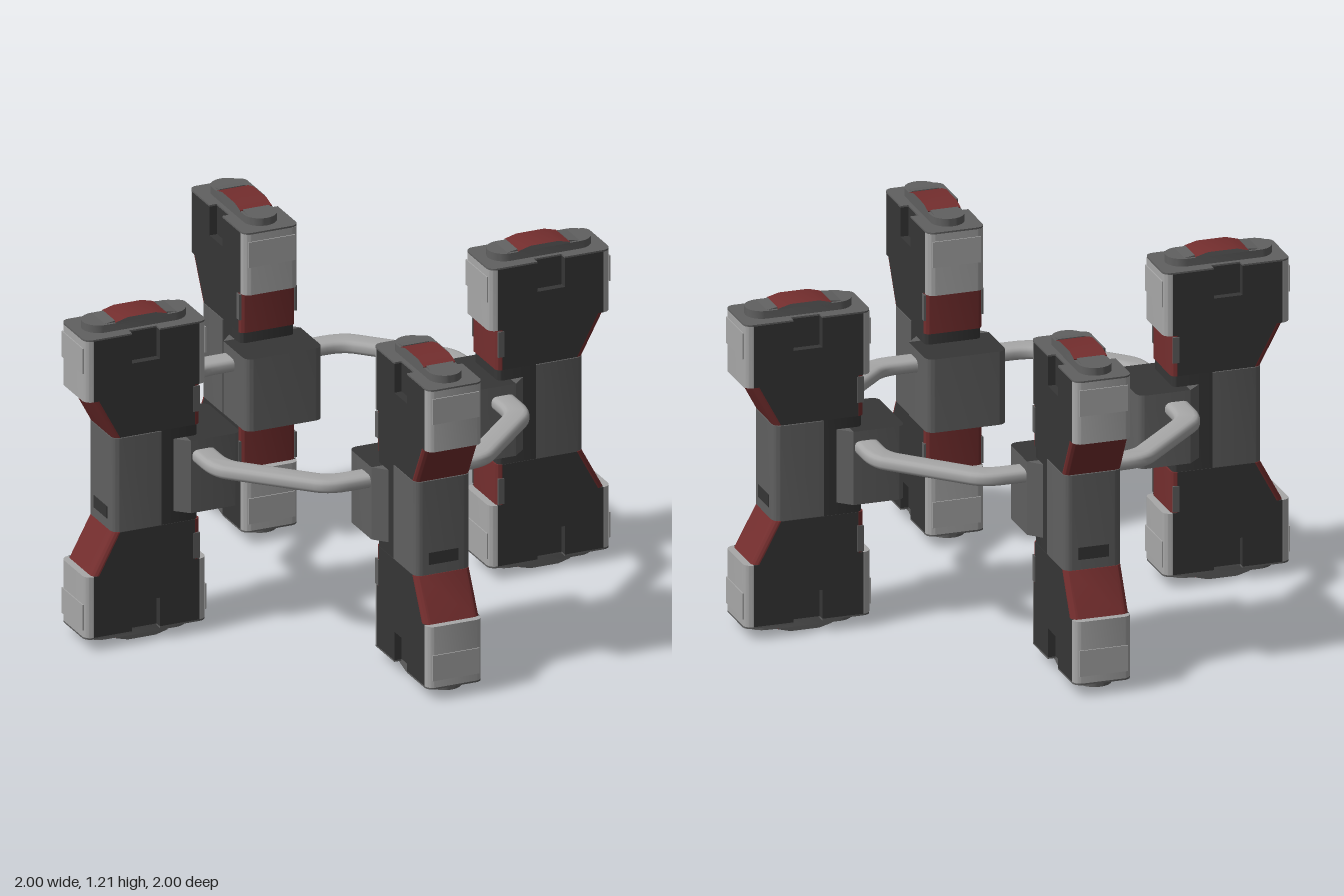
import * as THREE from 'three';
import { toCreasedNormals } from 'three/addons/utils/BufferGeometryUtils.js';

const mat = (name, color) => {
  const m = new THREE.MeshStandardMaterial({ color });
  m.name = name;
  return m;
};
const MID = 0.603; // height of the mirror plane of each pod

// Plan outline from x0 to x1, half width w, corner radii at both ends, optional side notches
function plan(x0, x1, w, r0, r1, notch = false) {
  const s = new THREE.Shape();
  const arc = (x, y, r, a) => {
    if (r > 0) s.absarc(x, y, r, a, a + Math.PI / 2, false);
    else s.lineTo(x, y);
  };
  s.moveTo(x0 + r0, -w);
  if (notch) [[0.715, -w], [0.715, -0.077], [0.82, -0.077], [0.82, -w]].forEach(p => s.lineTo(...p));
  arc(x1 - r1, -w + r1, r1, -Math.PI / 2);
  arc(x1 - r1, w - r1, r1, 0);
  if (notch) [[0.82, w], [0.82, 0.077], [0.715, 0.077], [0.715, w]].forEach(p => s.lineTo(...p));
  arc(x0 + r0, w - r0, r0, Math.PI / 2);
  arc(x0 + r0, -w + r0, r0, Math.PI);
  return s;
}

// Extrude a plan upwards between two heights
function rise(shape, y0, y1) {
  const g = new THREE.ExtrudeGeometry(shape, { depth: y1 - y0, bevelEnabled: false, curveSegments: 5 });
  g.rotateX(-Math.PI / 2);
  g.translate(0, y0, 0);
  return g;
}

// Pull the outer side inwards towards the waist
function taper(g) {
  const p = g.attributes.position;
  for (let i = 0; i < p.count; i++) {
    if (p.getX(i) > 0.8) p.setX(i, p.getX(i) - 0.08 * (0.93 - p.getY(i)) / 0.15);
  }
  g.computeVertexNormals();
  return g;
}

function box(x0, x1, y0, y1, w, z = 0) {
  const g = new THREE.BoxGeometry(x1 - x0, y1 - y0, 2 * w);
  g.translate((x0 + x1) / 2, (y0 + y1) / 2, z);
  return g;
}

function add(group, name, geometry, material) {
  const m = new THREE.Mesh(toCreasedNormals(geometry, 0.6), material);
  m.name = name;
  group.add(m);
  return m;
}

// Octagon with softened corners; sides at a, corners at b
function octagon(a, b, Type) {
  const v = [[a, -b], [a, b], [b, a], [-b, a], [-a, b], [-a, -b], [-b, -a], [b, -a]]
    .map(p => new THREE.Vector2(...p));
  const s = new Type();
  v.forEach((c, i) => {
    const before = c.clone().lerp(v[(i + 7) % 8], 0.12);
    const after = c.clone().lerp(v[(i + 1) % 8], 0.12);
    if (i) s.lineTo(before.x, before.y);
    else s.moveTo(before.x, before.y);
    s.quadraticCurveTo(c.x, c.y, after.x, after.y);
  });
  s.closePath();
  return s;
}

// Upper head of a pod, tapering down to the waist
function createHead(c) {
  const g = new THREE.Group();
  g.name = 'podHead';
  add(g, 'headLower', rise(plan(0.565, 0.965, 0.105, 0, 0), 0.93, 1.05), c.dark);
  add(g, 'headUpper', rise(plan(0.565, 0.965, 0.105, 0, 0, true), 1.05, 1.157), c.dark);
  add(g, 'outerShell', rise(plan(0.965, 0.996, 0.105, 0, 0.03), 0.93, 1.157), c.light);
  add(g, 'innerShell', rise(plan(0.535, 0.565, 0.105, 0.029, 0), 0.93, 1.157), c.light);
  add(g, 'outerPanel', box(0.995, 1.0, 1.035, 1.13, 0.088), c.light);
  add(g, 'innerPanel', box(0.531, 0.536, 1.035, 1.13, 0.088), c.light);
  add(g, 'topPlate', rise(plan(0.535, 0.996, 0.105, 0.03, 0.03, true), 1.157, 1.163), c.grey);
  // raised cap with a red hump
  add(g, 'topCap', rise(plan(0.575, 0.96, 0.06, 0.0599, 0.0599), 1.16, 1.191), c.grey);
  const hump = new THREE.Shape([[0.665, 1.185], [0.86, 1.185], [0.86, 1.194], [0.815, 1.206],
    [0.71, 1.206], [0.665, 1.194]].map(p => new THREE.Vector2(...p)));
  const humpGeo = new THREE.ExtrudeGeometry(hump, { depth: 0.12, bevelEnabled: false });
  humpGeo.translate(0, 0, -0.06);
  add(g, 'capHump', humpGeo, [c.grey, c.red]);
  for (const [a, b] of [[0.62, 0.665], [0.86, 0.905]]) {
    const inner = a < 0.7 ? b : a, outer = a < 0.7 ? a : b;
    const ramp = new THREE.Shape([[outer, 1.19], [inner, 1.19], [inner, 1.197]].map(p => new THREE.Vector2(...p)));
    const r = new THREE.ExtrudeGeometry(ramp, { depth: 0.1, bevelEnabled: false });
    r.translate(0, 0, -0.05);
    add(g, 'capRamp', r, c.grey);
  }
  // tapered neck
  add(g, 'neck', taper(rise(plan(0.582, 0.945, 0.105, 0, 0), 0.78, 0.93)), c.dark);
  add(g, 'outerNeckBand', taper(rise(plan(0.945, 0.97, 0.105, 0, 0.0249), 0.78, 0.93)), c.red);
  add(g, 'innerNeckBand', rise(plan(0.562, 0.582, 0.105, 0.0199, 0), 0.78, 0.93), c.red);
  for (const s of [-1, 1]) add(g, 'neckClip', box(0.565, 0.588, 0.83, 0.925, 0.004, s * 0.105), c.grey);
  g.children.forEach(m => m.geometry.translate(0, -MID, 0));
  return g;
}

function createPod(c) {
  const pod = new THREE.Group();
  pod.name = 'pod';
  const upper = createHead(c), lower = createHead(c);
  upper.position.y = lower.position.y = MID;
  lower.rotation.x = Math.PI;
  pod.add(upper, lower);
  // waist
  add(pod, 'waistCore', rise(plan(0.568, 0.71, 0.103, 0.02, 0), 0.426, 0.78), c.dark);
  add(pod, 'waistShell', rise(plan(0.71, 0.892, 0.106, 0, 0.03), 0.428, 0.778), c.grey);
  add(pod, 'waistSlot', box(0.889, 0.894, 0.465, 0.51, 0.056), c.dark);
  // bracket holding the ring
  add(pod, 'bracket', rise(plan(0.425, 0.615, 0.146, 0.03, 0), 0.47, 0.74), [c.dark, c.grey]);
  const wedge = new THREE.Shape([[0.615, -0.146], [0.665, -0.1], [0.665, 0.1], [0.615, 0.146]]
    .map(p => new THREE.Vector2(...p)));
  add(pod, 'bracketWedge', rise(wedge, 0.47, 0.74), c.grey);
  return pod;
}

export function createModel() {
  const c = {
    dark: mat('darkGrey', 0x363636),
    grey: mat('midGrey', 0x606060),
    light: mat('lightGrey', 0xa8a8a8),
    red: mat('darkRed', 0x742e2e),
  };
  const model = new THREE.Group();
  model.name = 'model';
  for (let i = 0; i < 4; i++) {
    const pod = createPod(c);
    pod.rotation.y = i * Math.PI / 2;
    model.add(pod);
  }
  // octagonal ring joining the pods
  const ring = octagon(0.59, 0.292, THREE.Shape);
  ring.holes.push(octagon(0.543, 0.272, THREE.Path));
  const ringGeo = new THREE.ExtrudeGeometry(ring, {
    depth: 0.016, bevelEnabled: true, bevelSize: 0.02, bevelThickness: 0.016, bevelSegments: 3, curveSegments: 5,
  });
  ringGeo.rotateX(-Math.PI / 2);
  ringGeo.translate(0, 0.672, 0);
  add(model, 'ring', ringGeo, c.light);
  return model;
}
